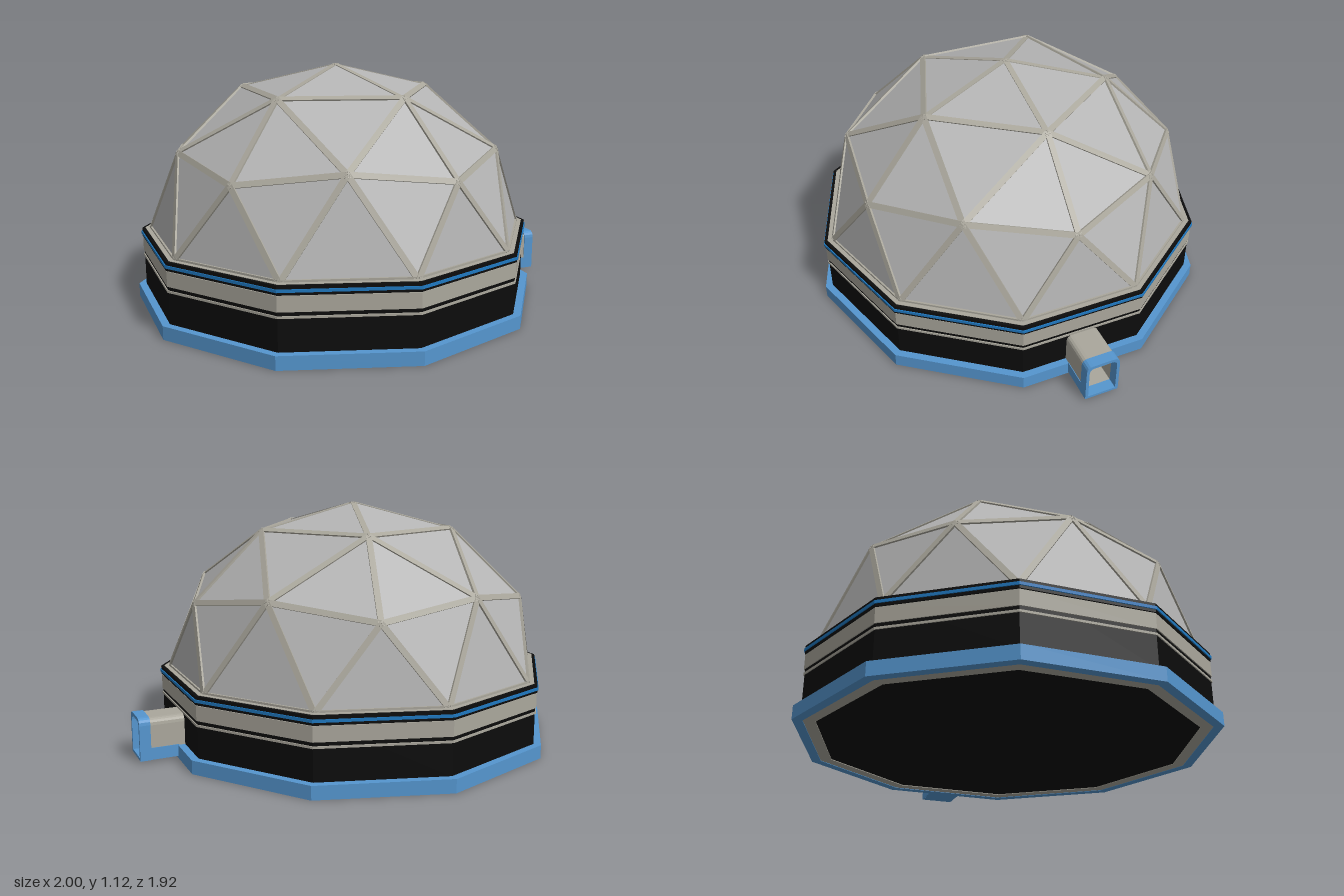
import * as THREE from 'three';

const CX = -0.085; // dome axis; the entrance tunnel shifts it off centre
const mat = (color) => new THREE.MeshStandardMaterial({ color, flatShading: true, side: THREE.DoubleSide });
const blue = mat(0x5596cf), stripeBlue = mat(0x1f78c0), black = mat(0x0c0c0c);
const beige = mat(0xaaa79c), glass = mat(0xb4b4b4), doorGrey = mat(0x6b5a66);
const red = mat(0xa0443c), yellow = mat(0xc8a030);

function add(parent, name, geometry, material) {
  const mesh = new THREE.Mesh(geometry, material);
  mesh.name = name;
  parent.add(mesh);
  return mesh;
}

// Ten-sided ring with a rectangular section
function ring(parent, name, rIn, rOut, y0, y1, material) {
  const profile = [[rIn, y0], [rOut, y0], [rOut, y1], [rIn, y1], [rIn, y0]];
  return add(parent, name, new THREE.LatheGeometry(profile.map(([r, y]) => new THREE.Vector2(r, y)), 10), material);
}

function box(parent, name, size, pos, material) {
  const mesh = add(parent, name, new THREE.BoxGeometry(...size), material);
  mesh.position.set(...pos);
  return mesh;
}

// Doorway outline with rounded upper corners
function arch(target, w, y0, y1, r) {
  target.moveTo(-w, y0);
  target.lineTo(w, y0);
  target.lineTo(w, y1 - r);
  target.quadraticCurveTo(w, y1, w - r, y1);
  target.lineTo(-w + r, y1);
  target.quadraticCurveTo(-w, y1, -w, y1 - r);
  target.closePath();
  return target;
}

// Hollow (or solid, without a hole) arch running along x
function archBlock(parent, name, outer, hole, x0, x1, material) {
  const shape = arch(new THREE.Shape(), ...outer);
  if (hole) shape.holes.push(arch(new THREE.Path(), ...hole));
  const geo = new THREE.ExtrudeGeometry(shape, { depth: x1 - x0, bevelEnabled: false, curveSegments: 4 });
  geo.rotateY(Math.PI / 2).translate(x0, 0, 0);
  return add(parent, name, geo, material);
}

// Vertices and triangles of a two-frequency geodesic dome
function domeFaces() {
  const R = 0.89, H = 0.78;
  const point = (r, y, deg) => {
    const a = THREE.MathUtils.degToRad(deg);
    return new THREE.Vector3(R * r * Math.cos(a), H * y, R * r * Math.sin(a));
  };
  const verts = [point(0, 1, 0)];
  for (let k = 0; k < 5; k++) verts.push(point(0.526, 0.851, 72 * k));
  for (let k = 0; k < 5; k++) verts.push(point(0.894, 0.447, 72 * k));
  for (let k = 0; k < 5; k++) verts.push(point(0.851, 0.526, 36 + 72 * k));
  for (let k = 0; k < 10; k++) verts.push(point(1, 0, 18 + 36 * k));
  const a = (k) => 1 + (k + 5) % 5, b = (k) => 6 + (k + 5) % 5;
  const c = (k) => 11 + (k + 5) % 5, d = (k) => 16 + (k + 10) % 10;
  const faces = [];
  for (let k = 0; k < 5; k++) {
    faces.push([0, a(k), a(k + 1)], [a(k), a(k + 1), c(k)], [a(k), b(k), c(k)], [a(k), b(k), c(k - 1)],
      [b(k), c(k), d(2 * k)], [c(k), b(k + 1), d(2 * k + 1)],
      [b(k), d(2 * k - 1), d(2 * k)], [c(k), d(2 * k), d(2 * k + 1)]);
  }
  // Wind every triangle outwards
  for (const f of faces) {
    const [p, q, r] = f.map((i) => verts[i]);
    const n = q.clone().sub(p).cross(r.clone().sub(p));
    if (n.dot(p.clone().add(q).add(r)) < 0) f.reverse();
  }
  return { verts, faces };
}

function buildDome() {
  const dome = new THREE.Group();
  dome.name = 'dome';
  dome.position.y = 0.34;
  const { verts, faces } = domeFaces();
  const panels = new THREE.BufferGeometry().setFromPoints(faces.flat().map((i) => verts[i]));
  panels.computeVertexNormals();
  add(dome, 'domePanels', panels, glass);

  // One strut along each shared edge, turned to face outwards
  const done = new Set();
  for (const f of faces) {
    for (let i = 0; i < 3; i++) {
      const [s, t] = [f[i], f[(i + 1) % 3]].sort((m, n) => m - n);
      if (done.has(s + '-' + t)) continue;
      done.add(s + '-' + t);
      const along = verts[t].clone().sub(verts[s]);
      const length = along.length();
      along.normalize();
      const mid = verts[s].clone().add(verts[t]).multiplyScalar(0.5);
      const side = along.clone().cross(mid).normalize();
      const out = side.clone().cross(along).normalize();
      const strut = add(dome, 'strut', new THREE.BoxGeometry(0.026, length, 0.016), beige);
      strut.quaternion.setFromRotationMatrix(new THREE.Matrix4().makeBasis(side, along, out));
      // Struts at the crown sit almost flush with the panels
      strut.position.copy(mid).addScaledVector(out, s === 0 ? -0.007 : -0.002);
    }
  }
  return dome;
}

function buildEntrance() {
  const entrance = new THREE.Group();
  entrance.name = 'entrance';
  const hole = [0.066, 0.022, 0.19, 0.025];
  archBlock(entrance, 'tunnel', [0.077, 0.014, 0.2, 0.03], hole, 0.78, 0.95, beige);
  archBlock(entrance, 'tunnelFrame', [0.08, 0.01, 0.205, 0.032], hole, 0.95, 1, blue);
  // Blue skirt along the foot of the tunnel
  for (const s of [-1, 1]) box(entrance, 'tunnelSkirt', [0.13, 0.055, 0.006], [0.89, 0.0385, s * 0.077], blue);
  box(entrance, 'tunnelSill', [0.13, 0.01, 0.154], [0.89, 0.015, 0], blue);
  // Recessed door with rails and small lights
  archBlock(entrance, 'door', hole, null, 0.832, 0.838, doorGrey);
  for (const y of [0.05, 0.1, 0.15]) box(entrance, 'doorRail', [0.006, 0.005, 0.12], [0.84, y, 0], red);
  for (const z of [-0.02, 0.02]) box(entrance, 'doorPost', [0.006, 0.15, 0.005], [0.841, 0.1, z], red);
  box(entrance, 'doorLight', [0.006, 0.035, 0.008], [0.842, 0.17, -0.04], yellow);
  box(entrance, 'doorLight', [0.006, 0.035, 0.008], [0.842, 0.17, -0.028], stripeBlue);
  return entrance;
}

export function createModel() {
  const model = new THREE.Group();
  model.name = 'domeBuilding';

  const building = new THREE.Group();
  building.name = 'building';
  building.position.x = CX;
  model.add(building);

  // Plinth and underside
  ring(building, 'plinth', 0.915, 0.96, 0, 0.062, blue);
  ring(building, 'footing', 0.86, 0.915, 0.002, 0.06, beige);
  const floor = add(building, 'floor', new THREE.CylinderGeometry(0.87, 0.87, 0.01, 10), black);
  floor.position.y = 0.01;

  // Wall with its bands
  ring(building, 'wall', 0.86, 0.925, 0.06, 0.335, black);
  ring(building, 'thinBand', 0.9, 0.93, 0.205, 0.215, beige);
  ring(building, 'wideBand', 0.9, 0.93, 0.232, 0.3, beige);
  ring(building, 'wallLip', 0.9, 0.932, 0.303, 0.342, black);
  ring(building, 'blueBand', 0.91, 0.937, 0.315, 0.328, stripeBlue);
  ring(building, 'deck', 0.82, 0.917, 0.33, 0.344, beige);

  building.add(buildDome());
  model.add(buildEntrance());
  return model;
}
